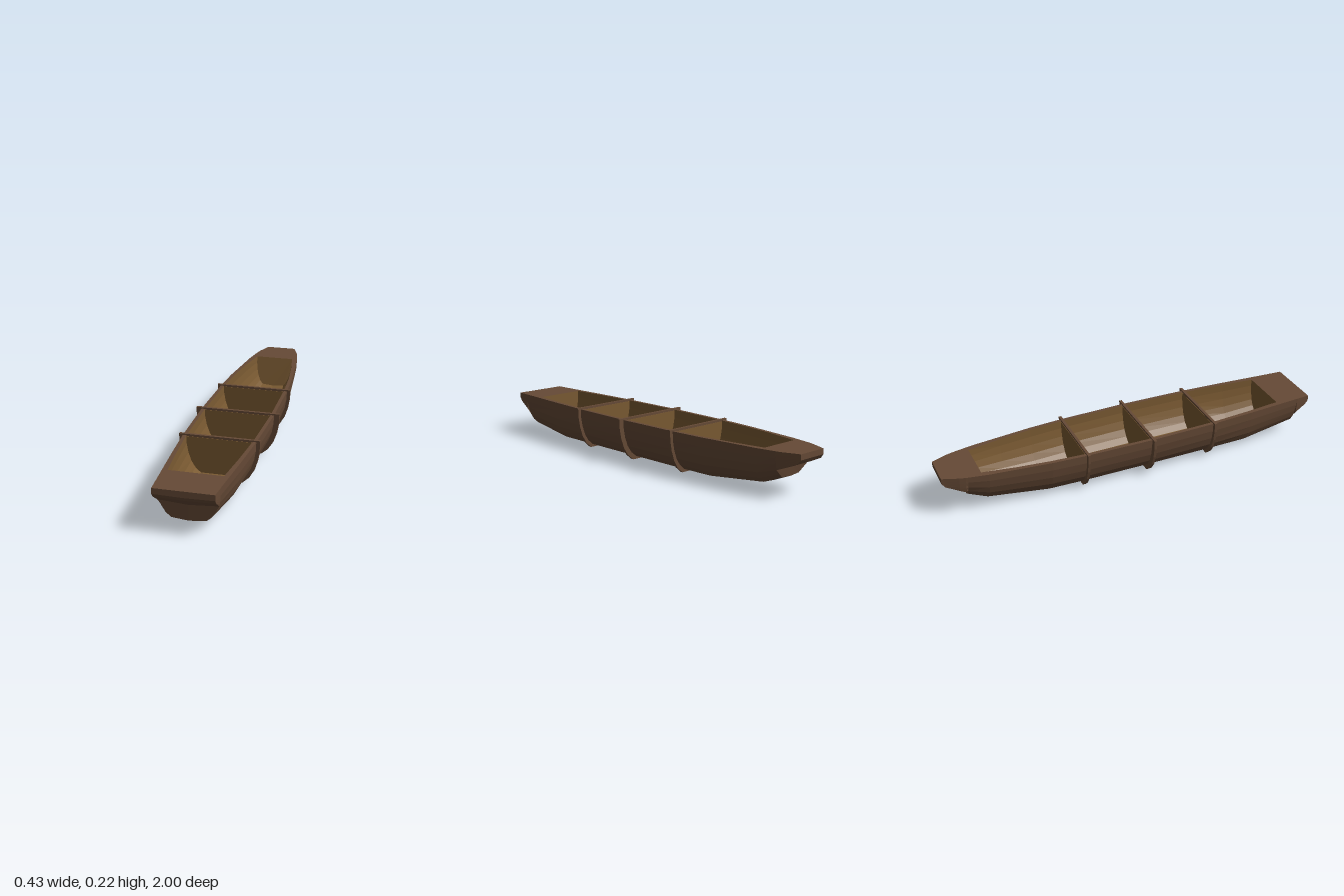
import * as THREE from 'three';

const DECK = 0.218;
// Station: [z, half width at top, bottom width ratio, bottom y, bottom sag, forward lean of the lower part]
const HULL = [
  [1, 0.143, 1, 0.19, 0.003, 0],
  [0.985, 0.143, 1, 0.17, 0.004, 0],
  [0.93, 0.147, 0.96, 0.13, 0.01, 0],
  [0.925, 0.147, 0.55, 0.048, 0.008, 0],
  [0.64, 0.168, 0.6, 0.015, 0, 0],
  [0.41, 0.182, 0.57, 0.015, 0, 0],
  [0.06, 0.19, 0.55, 0.015, 0, 0],
  [-0.29, 0.183, 0.56, 0.015, 0, 0],
  [-0.47, 0.172, 0.56, 0.015, 0, 0],
  [-0.78, 0.138, 0.52, 0.045, 0.006, 0],
  [-0.88, 0.12, 0.5, 0.085, 0.005, 0],
  [-0.89, 0.118, 0.95, 0.13, 0.003, 0],
  [-0.92, 0.11, 0.97, 0.143, 0.003, 0],
  [-0.985, 0.085, 1, 0.17, 0.002, 0],
  [-1, 0.08, 1, 0.19, 0, 0],
];
const CAVITY = [
  [0.81, 0.13, 0.62, 0.05, 0.006, 0],
  [0.64, 0.147, 0.62, 0.03, 0, 0],
  [0.41, 0.164, 0.57, 0.03, 0, 0],
  [0.06, 0.172, 0.55, 0.03, 0, 0],
  [-0.29, 0.165, 0.56, 0.03, 0, 0],
  [-0.47, 0.153, 0.56, 0.03, 0, 0],
  [-0.64, 0.133, 0.56, 0.045, 0.004, 0],
  [-0.81, 0.104, 0.6, 0.065, 0.006, 0.04],
];

// Rounded U-shaped cross-section, from the +x rim under the bottom to the -x rim
function section([z, w, ratio, bottom, sag, lean], top = DECK) {
  const out = [0, 0.38, 0.67, 0.87, 0.98, 1];
  const rise = [0, 0.13, 0.31, 0.54, 0.78, 1];
  const half = out.map((s, i) => [
    w * (ratio + (1 - ratio) * s),
    bottom + (top - bottom) * rise[i],
    z + lean * (1 - rise[i]),
  ]);
  const mirrored = half.map(([x, y, d]) => [-x, y, d]);
  return [...half.reverse(), [0, bottom - sag, z + lean], ...mirrored];
}

// Skin through the stations with closed ends; inward turns the faces round
function loft(stations, inward) {
  const rows = stations.map((s) => section(s));
  const n = rows[0].length;
  const index = [];
  const tri = (a, b, c) => (inward ? index.push(a, c, b) : index.push(a, b, c));
  for (let r = 0; r < rows.length - 1; r++) {
    for (let i = 0; i < n - 1; i++) {
      const a = r * n + i;
      tri(a, a + 1, a + n);
      tri(a + 1, a + n + 1, a + n);
    }
  }
  const last = (rows.length - 1) * n;
  for (let i = 1; i < n - 1; i++) {
    tri(0, i + 1, i);
    tri(last, last + i, last + i + 1);
  }
  const g = new THREE.BufferGeometry();
  g.setAttribute('position', new THREE.Float32BufferAttribute(rows.flat(2), 3));
  g.setIndex(index);
  g.computeVertexNormals();
  return g;
}

// Plan outline of the rim at deck height
function planPoints(stations) {
  const right = stations.map(([z, w]) => new THREE.Vector2(w, -z));
  const left = stations.map(([z, w]) => new THREE.Vector2(-w, -z)).reverse();
  return [...right, ...left];
}

// Upright panel cut to a cross-section
function panel(station, top, depth) {
  const shape = new THREE.Shape(section(station, top).map(([x, y]) => new THREE.Vector2(x, y)));
  const g = new THREE.ExtrudeGeometry(shape, { depth, bevelEnabled: false });
  return g.translate(0, 0, station[0] - depth / 2);
}

export function createModel() {
  const boat = new THREE.Group();
  boat.name = 'boat';
  const outerWood = new THREE.MeshStandardMaterial({ color: 0x664a36, flatShading: true });
  const innerWood = new THREE.MeshStandardMaterial({ color: 0x7a5a32, flatShading: true });
  const add = (name, geometry, material) => {
    const mesh = new THREE.Mesh(geometry, material);
    mesh.name = name;
    boat.add(mesh);
  };

  add('hull', loft(HULL, false), outerWood);
  add('interior', loft(CAVITY, true), innerWood);

  // Deck at both ends and gunwale along the sides
  const deck = new THREE.Shape(planPoints(HULL));
  deck.holes.push(new THREE.Path(planPoints(CAVITY)));
  const deckGeometry = new THREE.ShapeGeometry(deck).rotateX(-Math.PI / 2).translate(0, DECK, 0);
  add('deck', deckGeometry, outerWood);

  // Three ribs wrapping the hull, each closed by a bulkhead inside
  const ribs = [['front', 0.41, 0.2], ['middle', 0.06, 0.217], ['rear', -0.29, 0.2]];
  for (const [place, z, width] of ribs) {
    add(`${place}Rib`, panel([z, width, 0.575, 0, 0, 0], 0.225, 0.014), outerWood);
    const inside = CAVITY.find((s) => s[0] === z);
    add(`${place}Bulkhead`, panel(inside, 0.214, 0.018), innerWood);
  }
  return boat;
}
